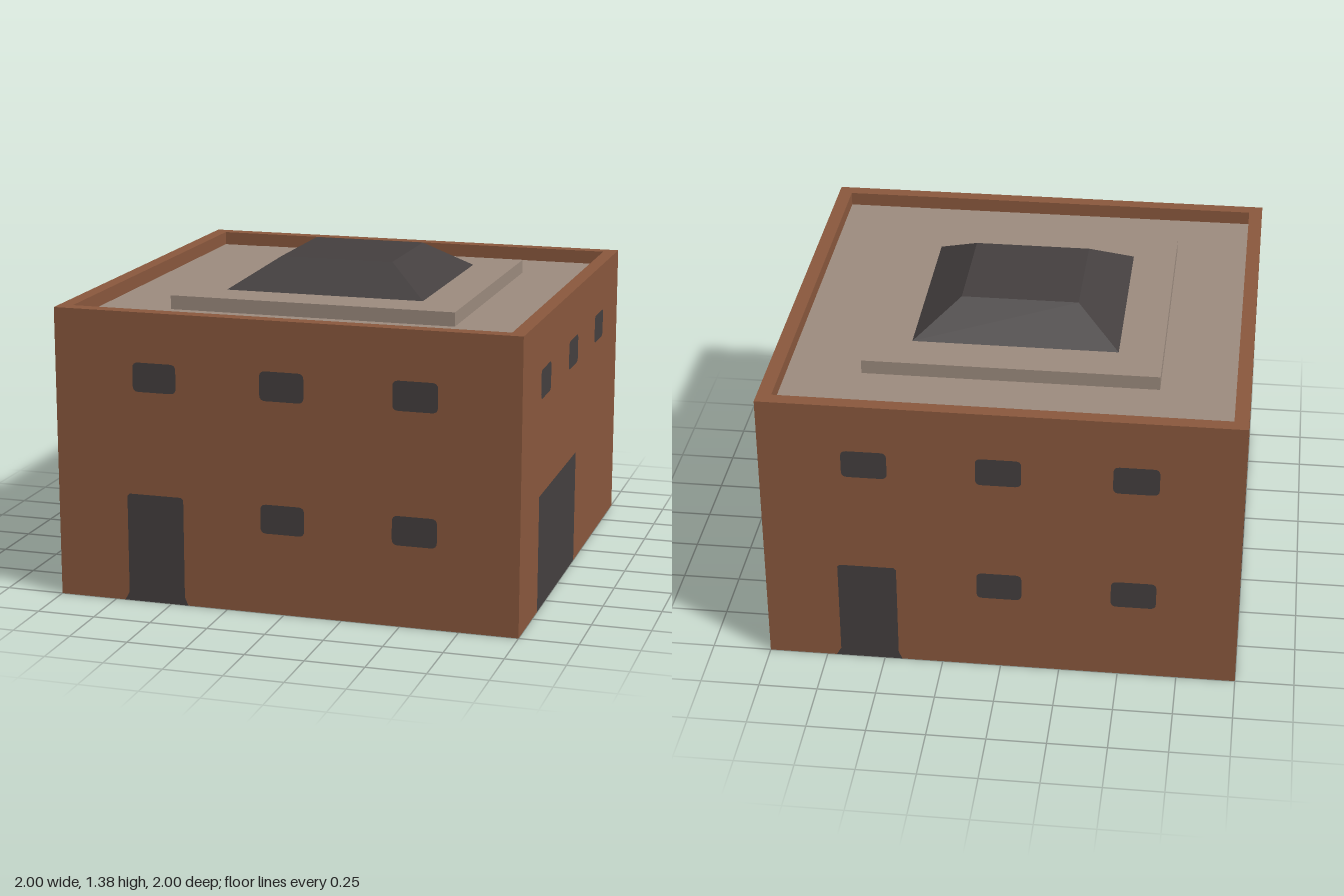
import * as THREE from 'three';

const WALL_H = 1.25, DECK_Y = 1.19, INNER = 0.94, PLATFORM = 0.625;

function material(name, color) {
  const m = new THREE.MeshStandardMaterial({ color, side: THREE.DoubleSide });
  m.name = name;
  return m;
}

function mesh(name, geometry, mat) {
  const m = new THREE.Mesh(geometry, mat);
  m.name = name;
  return m;
}

// Square outline centred on the origin
function square(half, Type = THREE.Shape) {
  return new Type([[-half, -half], [half, -half], [half, half], [-half, half]]
    .map(([x, y]) => new THREE.Vector2(x, y)));
}

// Horizontal square plate, optionally with a square opening
function plate(half, y, opening = 0) {
  const s = square(half);
  if (opening) s.holes.push(square(opening, THREE.Path));
  return new THREE.ShapeGeometry(s).rotateX(-Math.PI / 2).translate(0, y, 0);
}

// Four flat sides between two squares
function sides(halfBottom, halfTop, y0, y1) {
  const g = new THREE.CylinderGeometry(halfTop * Math.SQRT2, halfBottom * Math.SQRT2, y1 - y0, 4, 1, true)
    .rotateY(Math.PI / 4).translate(0, (y0 + y1) / 2, 0).toNonIndexed();
  g.computeVertexNormals();
  return g;
}

// Window outline with softened corners
function windowOutline(cx, cy, w = 0.19, h = 0.125, r = 0.025) {
  const x0 = cx - w / 2, x1 = cx + w / 2, y0 = cy - h / 2, y1 = cy + h / 2;
  const s = new THREE.Shape();
  s.moveTo(x0 + r, y0);
  s.lineTo(x1 - r, y0).quadraticCurveTo(x1, y0, x1, y0 + r);
  s.lineTo(x1, y1 - r).quadraticCurveTo(x1, y1, x1 - r, y1);
  s.lineTo(x0 + r, y1).quadraticCurveTo(x0, y1, x0, y1 - r);
  s.lineTo(x0, y0 + r).quadraticCurveTo(x0, y0, x0 + r, y0);
  return s;
}

// One thin wall facing +z, with its door and windows set flush into it
function wall(name, doorName, doorPoints, windows, brick, dark) {
  const group = new THREE.Group();
  group.name = name;
  const door = doorPoints.map(([x, y]) => new THREE.Vector2(x, y));
  const panel = new THREE.Shape([
    new THREE.Vector2(-1, 0), ...door,
    new THREE.Vector2(1, 0), new THREE.Vector2(1, WALL_H), new THREE.Vector2(-1, WALL_H),
  ]);
  const outlines = windows.map(([x, y]) => windowOutline(x, y));
  panel.holes.push(...outlines);
  group.add(mesh('wallPanel', new THREE.ShapeGeometry(panel, 4), brick));
  group.add(mesh(doorName, new THREE.ShapeGeometry(new THREE.Shape(door)), dark));
  for (const o of outlines) group.add(mesh('window', new THREE.ShapeGeometry(o, 4), dark));
  return group;
}

export function createModel() {
  const model = new THREE.Group();
  model.name = 'building';
  const brick = material('brownBrick', 0x8a583d);
  const stone = material('beigeRoof', 0x9c8b7e);
  const dark = material('darkGrey', 0x443f3f);

  // Walls: opposite sides match
  const columns = [-0.56, -0.005, 0.56];
  const upper = columns.map((x) => [x, 0.975]);
  const lower = columns.slice(1).map((x) => [x, 0.41]);
  const entrance = [[-0.71, 0], [-0.69, 0.035], [-0.69, 0.46], [-0.68, 0.47],
    [-0.45, 0.47], [-0.44, 0.46], [-0.44, 0.035], [-0.425, 0]];
  const garage = [[-0.655, 0], [-0.655, 0.5], [0.09, 0.5], [0.09, 0]];
  ['front', 'left', 'back', 'right'].forEach((side, i) => {
    const w = i % 2
      ? wall(side + 'Wall', 'garageDoor', garage, upper, brick, dark)
      : wall(side + 'Wall', 'entranceDoor', entrance, [...upper, ...lower], brick, dark);
    const angle = i * Math.PI / 2;
    w.rotation.y = angle;
    w.position.set(Math.sin(angle), 0, Math.cos(angle));
    model.add(w);
  });

  // Parapet around the sunken roof
  model.add(mesh('parapetTop', plate(1, WALL_H, INNER), brick));
  model.add(mesh('parapetInside', sides(INNER, INNER, DECK_Y, WALL_H), brick));

  // Roof deck with a raised square platform
  model.add(mesh('roofDeck', plate(INNER, DECK_Y, PLATFORM), stone));
  model.add(mesh('platformSides', sides(PLATFORM, PLATFORM, DECK_Y, WALL_H), stone));
  model.add(mesh('platformTop', plate(PLATFORM, WALL_H), stone));

  // Sloped skylight
  model.add(mesh('skylightSides', sides(0.4375, 0.25, WALL_H, 1.375), dark));
  model.add(mesh('skylightTop', plate(0.25, 1.375), dark));
  return model;
}
